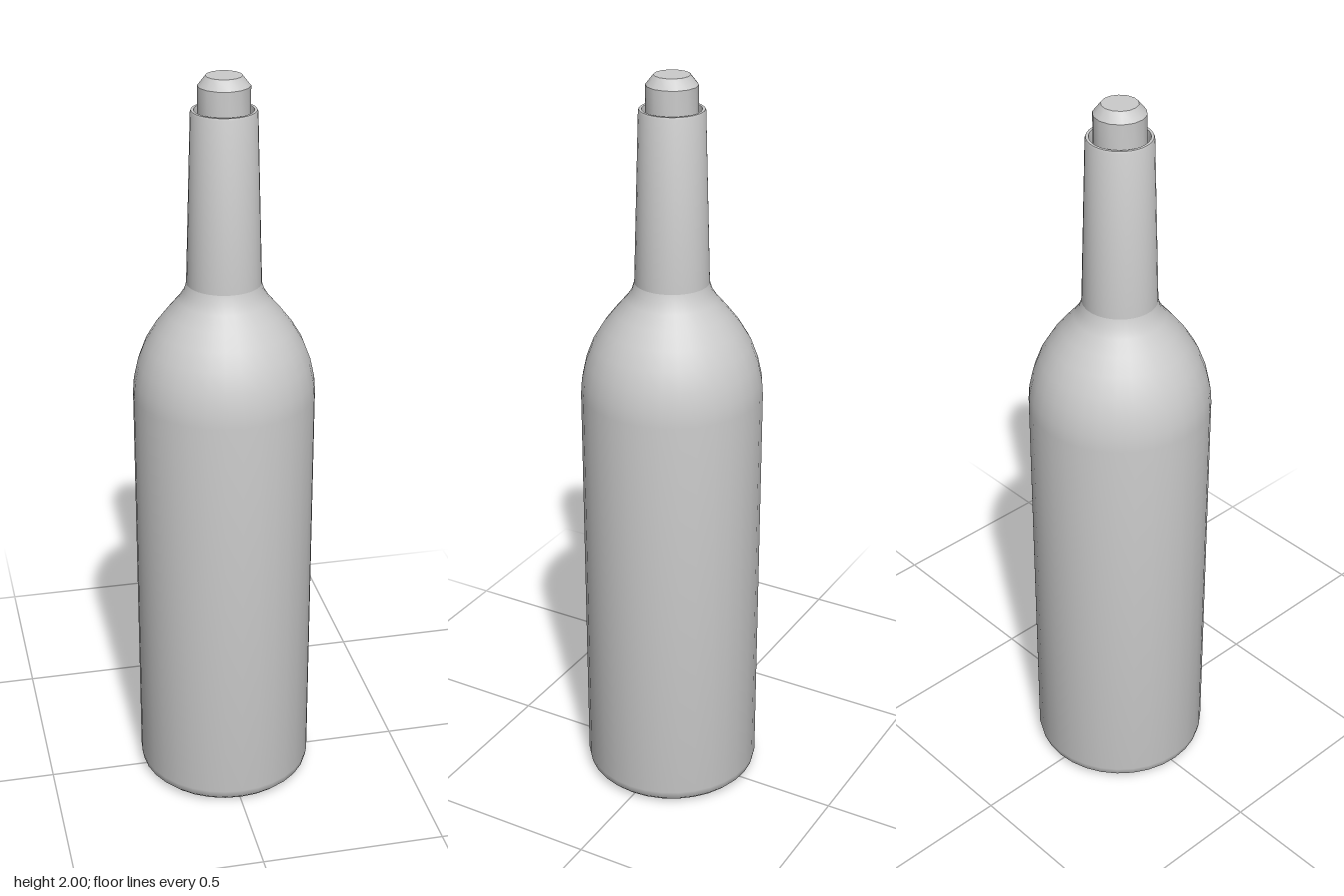
import * as THREE from 'three';
import { toCreasedNormals } from 'three/addons/utils/BufferGeometryUtils.js';

const material = new THREE.MeshStandardMaterial({ color: 0xcccccc });

// Turns a [radius, height] profile (listed bottom to top on the outside) around y.
function lathe(name, profile, sides, crease) {
  const points = profile.map(([r, y]) => new THREE.Vector2(r, y));
  const geometry = toCreasedNormals(new THREE.LatheGeometry(points, sides), crease);
  const mesh = new THREE.Mesh(geometry, material);
  mesh.name = name;
  return mesh;
}

export function createModel() {
  const bottle = new THREE.Group();
  bottle.name = 'bottle';

  // Hollow base, straight body and rounded shoulder
  bottle.add(lathe('body', [
    [0, 0.09], [0.03, 0.085], [0.06, 0.065], [0.09, 0.035], [0.12, 0.012],
    [0.16, 0.001], [0.2, 0], [0.222, 0.007], [0.235, 0.02], [0.239, 0.04],
    [0.239, 1.16], [0.236, 1.2], [0.225, 1.25], [0.206, 1.3], [0.179, 1.345],
    [0.148, 1.385], [0.118, 1.42], [0.104, 1.442], [0.097, 1.465],
  ], 32, 0.7));

  // Tapered neck with an open lip and a short inner wall
  bottle.add(lathe('neck', [
    [0.097, 1.465], [0.084, 1.91], [0.082, 1.915], [0.075, 1.915], [0.073, 1.9], [0.073, 1.86], [0, 1.86],
  ], 32, 0.5));

  // Stopper with a bevelled top
  bottle.add(lathe('stopper', [
    [0, 1.861], [0.066, 1.861], [0.066, 1.975], [0.046, 2], [0, 2],
  ], 14, 0.6));

  return bottle;
}
